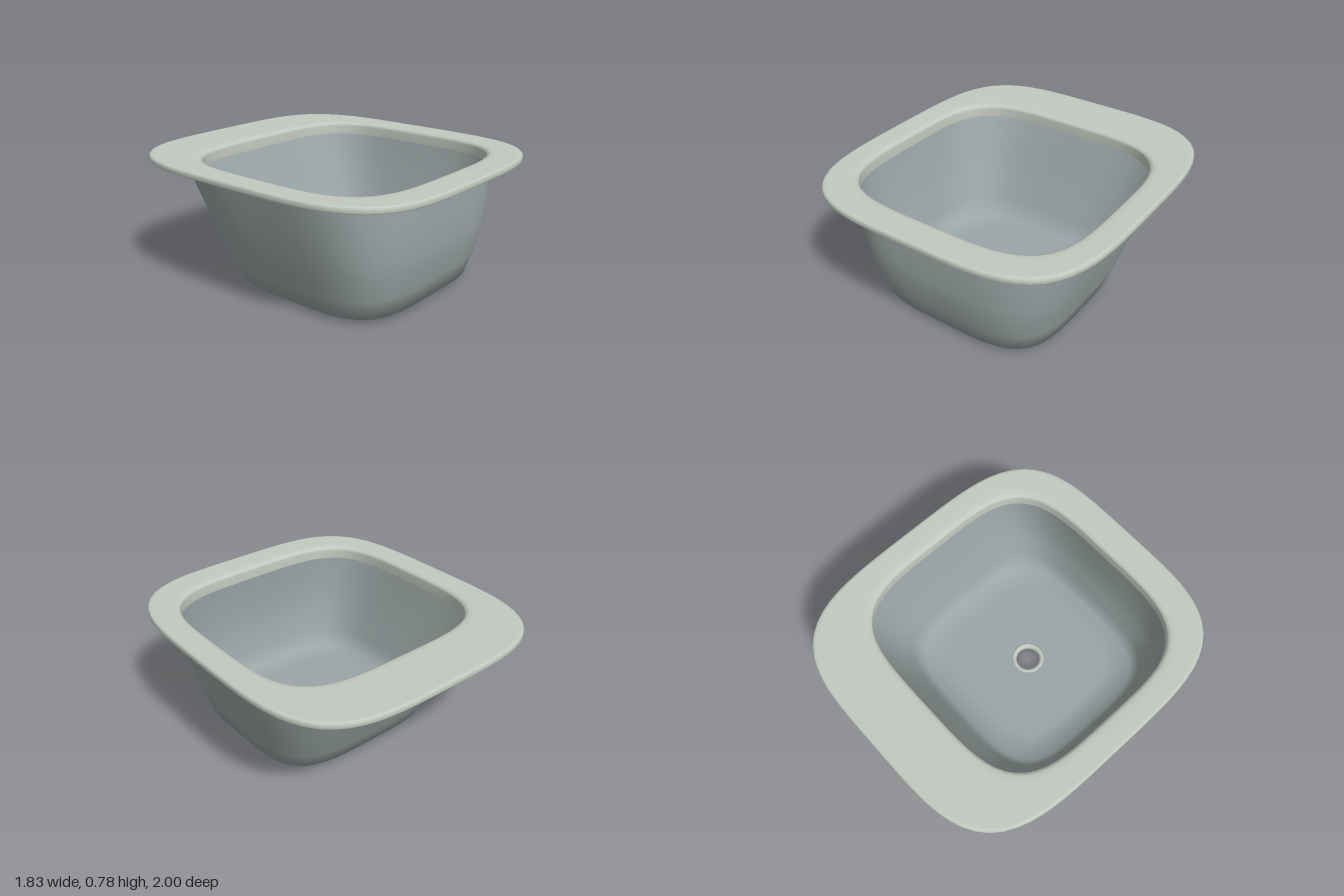
import * as THREE from 'three';

const SIDES = 96;

// Skin a list of rounded-square rings: [halfX, zBack, zFront, y, exponent = 4]
function loft(rings) {
  const pos = [], idx = [];
  rings.forEach(([hx, z0, z1, y, n = 4], i) => {
    const hz = (z1 - z0) / 2, cz = (z0 + z1) / 2;
    for (let j = 0; j < SIDES; j++) {
      const t = (j / SIDES) * Math.PI * 2, c = Math.cos(t), s = Math.sin(t);
      const r = (Math.abs(c) ** n + Math.abs(s) ** n) ** (-1 / n);
      pos.push(hx * r * c, y, cz + hz * r * s);
      if (i === rings.length - 1) continue;
      const k = (j + 1) % SIDES, a = i * SIDES + j, b = i * SIDES + k;
      idx.push(a, b, a + SIDES, b, b + SIDES, a + SIDES);
    }
  });
  const g = new THREE.BufferGeometry();
  g.setAttribute('position', new THREE.Float32BufferAttribute(pos, 3));
  g.setIndex(idx);
  g.computeVertexNormals();
  return g;
}

export function createModel() {
  const group = new THREE.Group();
  const rimMat = new THREE.MeshStandardMaterial({ color: 0xc3c9c1, side: THREE.DoubleSide });
  rimMat.name = 'pale grey';
  const bowlMat = new THREE.MeshStandardMaterial({ color: 0x9aa5a5, side: THREE.DoubleSide });
  bowlMat.name = 'steel grey';
  const add = (name, geometry, material) => {
    const mesh = new THREE.Mesh(geometry, material);
    mesh.name = name;
    group.add(mesh);
    return mesh;
  };

  // Rim: up the inner lip, across the top, round the edge and back underneath
  add('rim', loft([
    [0.745, -0.63, 0.80, 0.70],
    [0.745, -0.63, 0.80, 0.755],
    [0.75, -0.635, 0.805, 0.77],
    [0.765, -0.65, 0.82, 0.777],
    [0.79, -0.68, 0.845, 0.78],
    [0.895, -0.98, 0.98, 0.782],
    [0.908, -0.993, 0.993, 0.78],
    [0.915, -1, 1, 0.771],
    [0.915, -1, 1, 0.75],
    [0.91, -0.995, 0.995, 0.744],
    [0.895, -0.98, 0.98, 0.742],
    [0.83, -0.83, 0.85, 0.735],
    [0.805, -0.76, 0.825, 0.722],
    [0.79, -0.71, 0.813, 0.70],
    [0.745, -0.63, 0.80, 0.70],
  ]), rimMat);

  // Bowl: thin shell with a sloping back, closing in to the drain hole
  add('bowl', loft([
    [0.79, -0.71, 0.813, 0.70],
    [0.769, -0.667, 0.818, 0.60],
    [0.745, -0.62, 0.82, 0.50],
    [0.718, -0.576, 0.818, 0.39],
    [0.685, -0.522, 0.808, 0.28],
    [0.645, -0.46, 0.775, 0.15],
    [0.605, -0.40, 0.74, 0.03],
    [0.46, -0.26, 0.60, 0.027],
    [0.28, -0.09, 0.45, 0.023, 3],
    [0.09, 0.09, 0.27, 0.02, 2],
  ]), bowlMat);

  // Drain: rounded flange inside, short open pipe below
  const profile = [
    [0.085, 0], [0.09, 0.02], [0.106, 0.024], [0.107, 0.032], [0.1, 0.039],
    [0.09, 0.039], [0.08, 0.03], [0.077, 0.015], [0.077, 0], [0.085, 0],
  ].map(([r, y]) => new THREE.Vector2(r, y));
  add('drain', new THREE.LatheGeometry(profile, 48), rimMat).position.z = 0.18;

  // Small stud beneath the back of the rim
  add('stud', new THREE.CylinderGeometry(0.014, 0.014, 0.03, 16), rimMat).position.set(0, 0.733, -0.79);

  return group;
}
